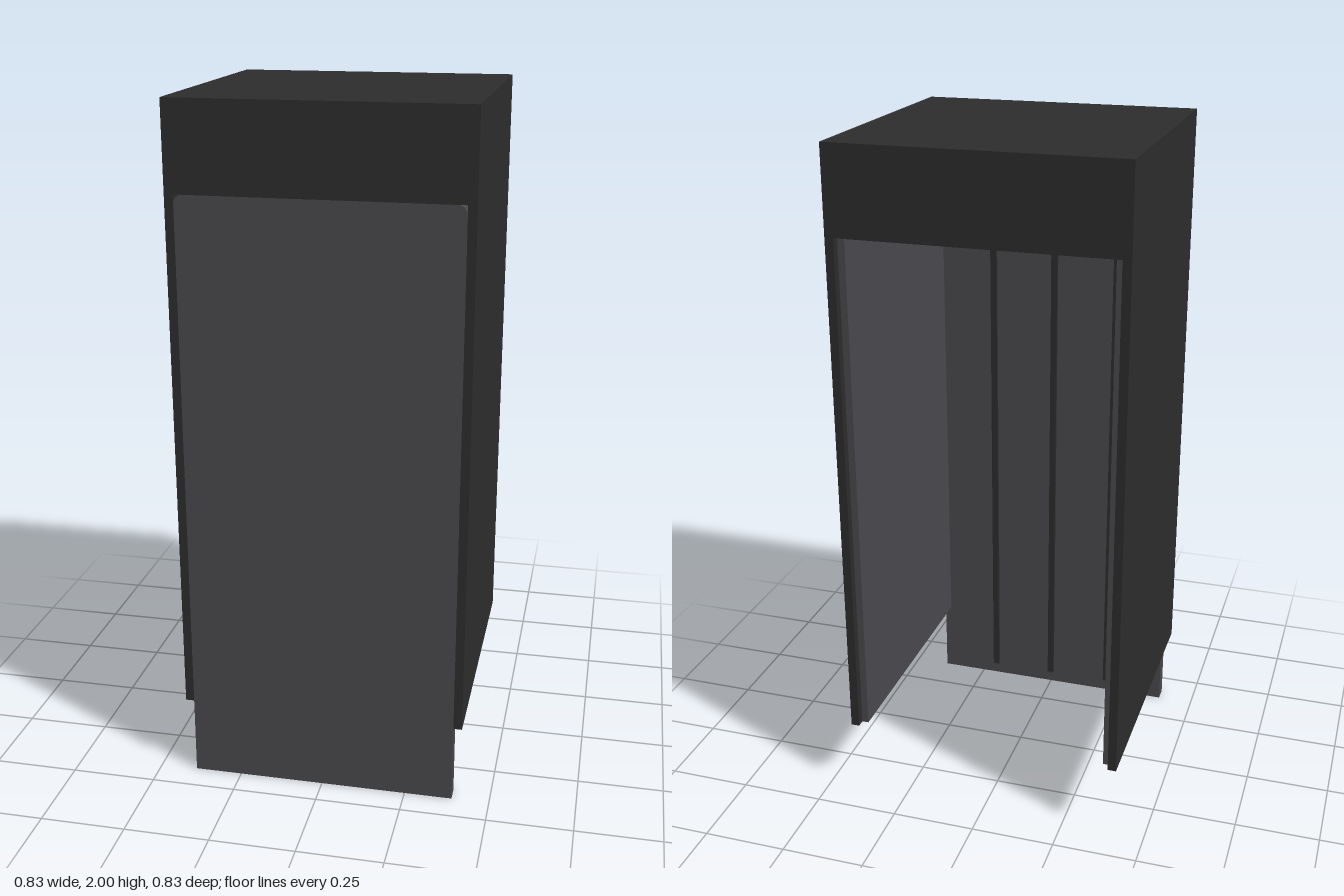
import * as THREE from 'three';

export function createModel() {
  const model = new THREE.Group();
  model.name = 'enclosure';

  const dark = new THREE.MeshStandardMaterial({ color: 0x2d2d2d });
  dark.name = 'charcoal frame';
  const grey = new THREE.MeshStandardMaterial({ color: 0x4a494d });
  grey.name = 'grey panel';

  function add(name, geometry, material, x = 0, y = 0, z = 0) {
    const mesh = new THREE.Mesh(geometry, material);
    mesh.name = name;
    mesh.position.set(x, y, z);
    model.add(mesh);
    return mesh;
  }

  // box given by its lower and upper corners
  function box(name, material, [x0, y0, z0], [x1, y1, z1]) {
    return add(name, new THREE.BoxGeometry(x1 - x0, y1 - y0, z1 - z0), material,
      (x0 + x1) / 2, (y0 + y1) / 2, (z0 + z1) / 2);
  }

  // upright panel with rounded top corners, thickness along +z
  function panelGeometry(x0, x1, height, depth, r) {
    const s = new THREE.Shape();
    s.moveTo(x0, 0);
    s.lineTo(x1, 0);
    s.lineTo(x1, height - r);
    s.absarc(x1 - r, height - r, r, 0, Math.PI / 2, false);
    s.lineTo(x0 + r, height);
    s.absarc(x0 + r, height - r, r, Math.PI / 2, Math.PI, false);
    s.closePath();
    return new THREE.ExtrudeGeometry(s, { depth, bevelEnabled: false, curveSegments: 6 });
  }

  const H = 0.415, wall = 0.39, inner = 0.37, top = 1.75, low = 0.235;

  // solid cap
  box('topCap', dark, [-H, top, -H], [H, 2, H]);

  // side walls: dark outer plate with a grey lining
  for (const side of [-1, 1]) {
    const name = side > 0 ? 'left' : 'right';
    const outer = [wall * side, H * side].sort((a, b) => a - b);
    const lining = [inner * side, wall * side].sort((a, b) => a - b);
    box(name + 'SidePlate', dark, [outer[0], low, -H], [outer[1], top, H]);
    box(name + 'SideLining', grey, [lining[0], low, -wall], [lining[1], top, inner]);
  }

  // long front door reaching the ground
  add('frontDoor', panelGeometry(-wall, wall, top, H - inner, 0.025), grey, 0, 0, inner);

  // stiffening ribs on the inside of the door
  for (const x of [-0.2, 0, 0.2]) {
    box('doorRib', dark, [x - 0.01, 0.04, 0.36], [x + 0.01, 1.71, inner]);
  }

  // small latch on the inside of the door
  box('doorLatch', grey, [-0.34, 0.79, 0.34], [-0.27, 0.84, inner]);

  return model;
}
